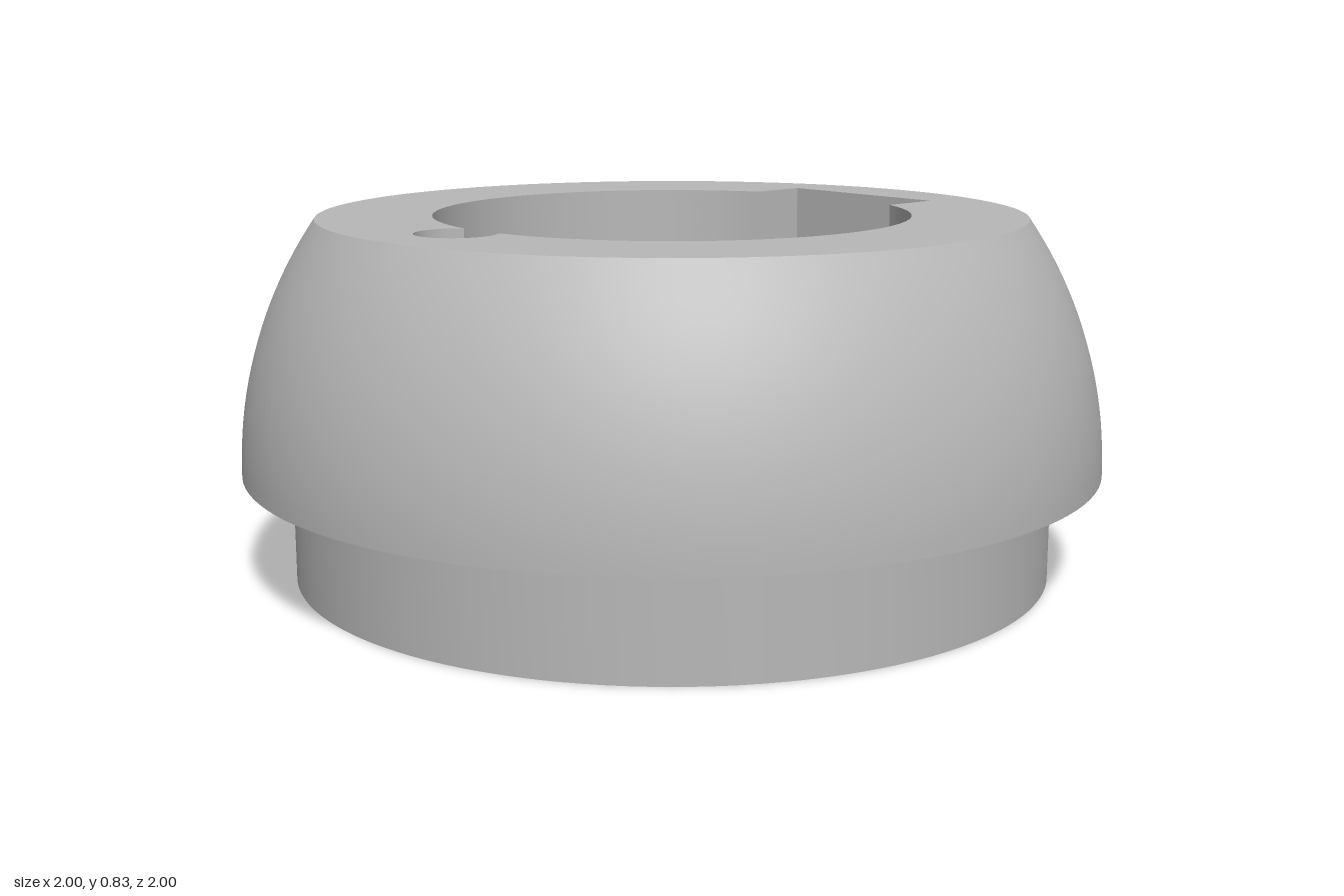
import * as THREE from 'three';
import { toCreasedNormals } from 'three/addons/utils/BufferGeometryUtils.js';

const TOP = 0.83, FLOOR = 0.514, STEP = 0.255;      // heights
const BASE_R = 0.887, POCKET_R = 0.553;             // radii
const HOLE_X = -0.615, HOLE_R = 0.09;               // pin hole
const KEY_X = 0.655, KEY_Z = 0.227;                 // keyway

// Points along an arc, both ends included
function arc(cx, r, from, to, n) {
  return Array.from({ length: n + 1 }, (_, i) => {
    const t = from + (to - from) * i / n;
    return new THREE.Vector2(cx + r * Math.cos(t), r * Math.sin(t));
  });
}

// Pocket outline; the pin hole either widens it or bites into it
function pocketOutline(includeHole) {
  const c = -HOLE_X;
  const x = (POCKET_R ** 2 + c ** 2 - HOLE_R ** 2) / (2 * c);
  const z = Math.sqrt(POCKET_R ** 2 - x ** 2);
  const a = Math.atan2(z, x), b = Math.atan2(z, c - x);
  const k = Math.asin(KEY_Z / POCKET_R);
  return [
    new THREE.Vector2(KEY_X, -KEY_Z),
    new THREE.Vector2(KEY_X, KEY_Z),
    ...arc(0, POCKET_R, k, Math.PI - a, 48),
    ...arc(HOLE_X, HOLE_R, b, includeHole ? 2 * Math.PI - b : -b, 32).slice(1, -1),
    ...arc(0, POCKET_R, Math.PI + a, 2 * Math.PI - k, 48),
  ];
}

// Flat face at a height, facing up or down
function plate(outline, holes, y, up = true) {
  const shape = new THREE.Shape(outline);
  shape.holes = holes.map((h) => new THREE.Path(h));
  return new THREE.ShapeGeometry(shape).rotateX(up ? -Math.PI / 2 : Math.PI / 2).translate(0, y, 0);
}

// Upright wall around an outline, facing inwards
function innerWall(outline, y0, y1) {
  const pos = [];
  outline.forEach((p, i) => {
    const q = outline[(i + 1) % outline.length];
    pos.push(p.x, y0, -p.y, q.x, y1, -q.y, q.x, y0, -q.y);
    pos.push(p.x, y0, -p.y, p.x, y1, -p.y, q.x, y1, -q.y);
  });
  const g = new THREE.BufferGeometry();
  g.setAttribute('position', new THREE.Float32BufferAttribute(pos, 3));
  return toCreasedNormals(g, 0.5);
}

export function createModel() {
  const group = new THREE.Group();
  const grey = new THREE.MeshStandardMaterial({ color: 0xb8b8b8 });
  grey.name = 'grey';
  const add = (name, geometry) => {
    const mesh = new THREE.Mesh(geometry, grey);
    mesh.name = name;
    group.add(mesh);
  };

  // Outer skin: straight base, ledge and spherical shoulder
  const profile = [new THREE.Vector2(BASE_R, 0), new THREE.Vector2(BASE_R, STEP)];
  const end = Math.asin(TOP - STEP);
  for (let i = 0; i <= 20; i++) {
    const t = end * i / 20;
    profile.push(new THREE.Vector2(Math.cos(t), STEP + Math.sin(t)));
  }
  add('outerBody', toCreasedNormals(new THREE.LatheGeometry(profile, 128), 0.5));

  // Rim with the pocket opening, and underside with the pin hole
  const circle = (cx, r, n) => arc(cx, r, 0, 2 * Math.PI, n).slice(0, -1);
  const opening = pocketOutline(true);
  const pinHole = circle(HOLE_X, HOLE_R, 48);
  add('topRim', plate(circle(0, Math.cos(end), 128), [opening], TOP));
  add('underside', plate(circle(0, BASE_R, 128), [pinHole], 0, false));

  // Pocket with keyway, and the pin hole running through below it
  add('pocketWall', innerWall(opening, FLOOR, TOP));
  add('pocketFloor', plate(pocketOutline(false), [], FLOOR));
  add('pinHoleWall', innerWall(pinHole, 0, FLOOR));

  // Low round boss on the pocket floor
  const boss = new THREE.CylinderGeometry(0.352, 0.352, 0.06, 96);
  boss.translate(0, FLOOR + 0.03, 0);
  add('floorBoss', boss);

  return group;
}
